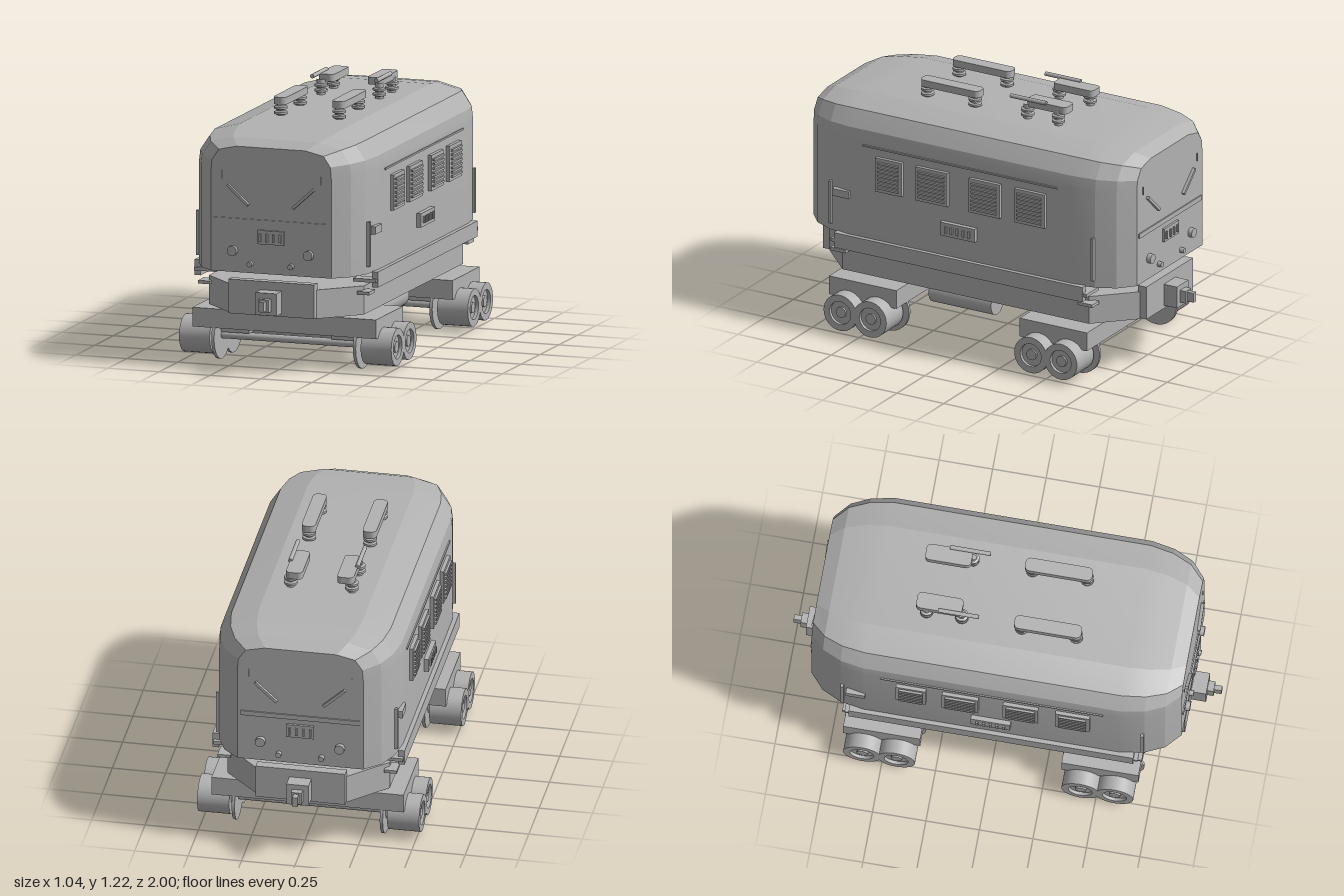
import * as THREE from 'three';
import { toCreasedNormals } from 'three/addons/utils/BufferGeometryUtils.js';

const grey = new THREE.MeshStandardMaterial({ color: 0xb2b2b2 });
grey.name = 'grey';

function add(parent, name, geometry, x = 0, y = 0, z = 0) {
  const mesh = new THREE.Mesh(geometry, grey);
  mesh.name = name;
  mesh.position.set(x, y, z);
  parent.add(mesh);
  return mesh;
}

// Box given by its limits on each axis
function box(parent, name, x0, x1, y0, y1, z0, z1) {
  return add(parent, name, new THREE.BoxGeometry(x1 - x0, y1 - y0, z1 - z0),
    (x0 + x1) / 2, (y0 + y1) / 2, (z0 + z1) / 2);
}

function lathe(profile, segments = 32) {
  const points = profile.map(([r, h]) => new THREE.Vector2(r, h));
  return toCreasedNormals(new THREE.LatheGeometry(points, segments), 0.6);
}

// Faceted shell lofted from arched cross-sections along z
function bodyGeometry() {
  const xs = [1, 1, 0.985, 0.87, 0.57];
  const endY = [0.465, 0.93, 0.985, 1.035, 1.055];
  const midY = [0.465, 0.95, 1.0, 1.075, 1.11];
  const half = [[0.865, 0.295, 0], [0.8, 0.368, 0.55], [0.71, 0.41, 0.8], [0.6, 0.43, 1]];
  const stations = [...half.map(([z, w, t]) => [-z, w, t]), ...half.slice().reverse()];
  const rings = stations.map(([z, w, t]) => {
    const right = xs.map((f, i) => [f * w, endY[i] + (midY[i] - endY[i]) * t, z]);
    return [...right, ...right.slice().reverse().map(([x, y]) => [-x, y, z])];
  });
  const pos = [];
  const n = rings[0].length;
  for (let i = 0; i < rings.length - 1; i++) {
    for (let j = 0; j < n; j++) {
      const k = (j + 1) % n;
      const a = rings[i][j], b = rings[i][k], c = rings[i + 1][k], d = rings[i + 1][j];
      pos.push(...a, ...b, ...c, ...a, ...c, ...d);
    }
  }
  const back = rings[0], front = rings[rings.length - 1];
  for (let j = 1; j < n - 1; j++) {
    pos.push(...front[0], ...front[j], ...front[j + 1]);
    pos.push(...back[0], ...back[j + 1], ...back[j]);
  }
  const g = new THREE.BufferGeometry();
  g.setAttribute('position', new THREE.Float32BufferAttribute(pos, 3));
  return toCreasedNormals(g, 0.2);
}

// Underframe plan with chamfered corners
function frameGeometry() {
  const corners = [[0.38, 0.66], [0.21, 0.83], [-0.21, 0.83], [-0.38, 0.66],
    [-0.38, -0.66], [-0.21, -0.83], [0.21, -0.83], [0.38, -0.66]];
  const shape = new THREE.Shape(corners.map(([x, y]) => new THREE.Vector2(x, y)));
  return new THREE.ExtrudeGeometry(shape, { depth: 0.135, bevelEnabled: false }).rotateX(-Math.PI / 2);
}

// Flat bar with rounded ends, lying along z
function roundedBar(width, length, height, radius) {
  const w = width / 2, l = length / 2, r = radius, s = new THREE.Shape();
  s.absarc(w - r, l - r, r, 0, Math.PI / 2);
  s.absarc(-w + r, l - r, r, Math.PI / 2, Math.PI);
  s.absarc(-w + r, -l + r, r, Math.PI, Math.PI * 1.5);
  s.absarc(w - r, -l + r, r, Math.PI * 1.5, Math.PI * 2);
  return new THREE.ExtrudeGeometry(s, { depth: height, bevelEnabled: false, curveSegments: 6 })
    .rotateX(-Math.PI / 2);
}

// Everything on one end wall
function endDetails() {
  const g = new THREE.Group();
  box(g, 'bufferPlate', -0.21, 0.21, 0.27, 0.43, 0.82, 0.865);
  box(g, 'couplerBlock', -0.052, 0.052, 0.285, 0.39, 0.865, 0.935);
  box(g, 'couplerNeck', -0.025, 0.025, 0.305, 0.365, 0.935, 0.965);
  box(g, 'couplerTip', -0.012, 0.012, 0.312, 0.358, 0.965, 1.0);
  box(g, 'noseRidge', -0.28, 0.28, 0.695, 0.718, 0.864, 0.871);
  box(g, 'grillePlate', -0.065, 0.065, 0.605, 0.67, 0.864, 0.876);
  for (let i = 0; i < 4; i++) {
    const x = -0.05 + i * 0.033;
    box(g, 'grilleBar', x - 0.005, x + 0.005, 0.618, 0.655, 0.876, 0.884);
  }
  for (const s of [-1, 1]) {
    const wiper = add(g, 'wiper', new THREE.BoxGeometry(0.136, 0.013, 0.015), s * 0.16, 0.829, 0.873);
    wiper.rotation.z = s * 0.74;
    const disc = r => new THREE.CylinderGeometry(r, r, 0.024, 20).rotateX(Math.PI / 2);
    add(g, 'headlamp', disc(0.023), s * 0.186, 0.566, 0.874);
    add(g, 'markerLamp', disc(0.013), s * 0.1, 0.508, 0.874);
    box(g, 'hook', s * 0.243 - 0.002, s * 0.243 + 0.002, 0.9, 0.938, 0.864, 0.87);
    const x = s * 0.39;
    box(g, 'upperStep', x - 0.055, x + 0.055, 0.422, 0.438, 0.62, 0.685);
    box(g, 'lowerStep', x - 0.03, x + 0.03, 0.365, 0.38, 0.62, 0.7);
    box(g, 'handrail', s * 0.416 - 0.01, s * 0.416 + 0.01, 0.5, 0.71, 0.694, 0.708);
  }
  return g;
}

// Everything on one long side
function sideDetails() {
  const g = new THREE.Group();
  box(g, 'sill', 0.42, 0.45, 0.397, 0.47, -0.665, 0.665);
  box(g, 'gutter', 0.425, 0.436, 0.922, 0.93, -0.52, 0.52);
  for (const [z0, z1] of [[0.305, 0.445], [0.06, 0.23], [-0.22, -0.055], [-0.46, -0.3]]) {
    box(g, 'ventFrame', 0.425, 0.447, 0.718, 0.885, z0, z1);
    for (let i = 0; i < 7; i++) {
      const y = 0.74 + i * 0.0205;
      box(g, 'louvre', 0.446, 0.457, y - 0.005, y + 0.005, z0 + 0.015, z1 - 0.015);
    }
  }
  box(g, 'sidePlate', 0.425, 0.452, 0.575, 0.64, -0.09, 0.095);
  for (let i = 0; i < 5; i++) {
    const z = -0.06 + i * 0.031;
    box(g, 'plateRib', 0.451, 0.46, 0.592, 0.624, z - 0.006, z + 0.006);
  }
  box(g, 'doorHandle', 0.41, 0.443, 0.648, 0.684, 0.59, 0.68);
  add(g, 'underTank', new THREE.CylinderGeometry(0.057, 0.057, 0.335, 24).rotateX(Math.PI / 2), 0.265, 0.214, 0.067);
  return g;
}

function bogie() {
  const g = new THREE.Group();
  box(g, 'bogieBeam', -0.45, 0.45, 0.16, 0.25, -0.18, 0.18);
  add(g, 'pivot', new THREE.CylinderGeometry(0.12, 0.12, 0.03, 24), 0, 0.255, 0);
  const wheel = lathe([[0, 0.34], [0.11, 0.34], [0.11, 0.354], [0.04, 0.354], [0.04, 0.37], [0.088, 0.37],
    [0.088, 0.52], [0.056, 0.52], [0.056, 0.505], [0.026, 0.505], [0.026, 0.515], [0, 0.515]])
    .rotateZ(-Math.PI / 2);
  for (const z of [-0.08, 0.08]) {
    add(g, 'axle', new THREE.CylinderGeometry(0.018, 0.018, 0.7, 16).rotateZ(Math.PI / 2), 0, 0.112, z);
    add(g, 'wheel', wheel, 0, 0.11, z);
    add(g, 'wheel', wheel, 0, 0.11, z).rotation.y = Math.PI;
  }
  for (const s of [-1, 1]) box(g, 'axleBlock', s * 0.272 - 0.07, s * 0.272 + 0.07, 0.128, 0.162, -0.1, 0.1);
  return g;
}

// Ribbed insulators carrying bars on the roof
function roofGear() {
  const g = new THREE.Group();
  const insulator = lathe([[0.02, 0], [0.02, 0.012], [0.031, 0.016], [0.031, 0.026], [0.02, 0.03],
    [0.02, 0.036], [0.031, 0.04], [0.031, 0.05], [0.02, 0.054], [0.02, 0.075]], 20);
  for (const s of [-1, 1]) {
    for (const z of [0.345, 0.09]) add(g, 'insulator', insulator, s * 0.143, 1.1, z);
    for (const z of [-0.19, -0.355]) add(g, 'insulator', insulator, s * 0.143, 1.108, z);
    add(g, 'frontRoofBar', roundedBar(0.065, 0.315, 0.034, 0.025), s * 0.143, 1.162, 0.213);
    add(g, 'rearRoofBar', roundedBar(0.078, 0.215, 0.034, 0.022), s * 0.12, 1.171, -0.297);
    add(g, 'contactArm', new THREE.CylinderGeometry(0.01, 0.01, 0.19, 12).rotateX(Math.PI / 2),
      s * 0.157, 1.207, -0.203);
  }
  return g;
}

export function createModel() {
  const model = new THREE.Group();
  model.name = 'railcar';
  add(model, 'bodyShell', bodyGeometry());
  add(model, 'underframe', frameGeometry(), 0, 0.265, 0);
  const place = (group, name, z = 0, turn = 0) => {
    group.name = name;
    group.position.z = z;
    group.rotation.y = turn;
    model.add(group);
  };
  place(endDetails(), 'frontEnd');
  place(endDetails(), 'rearEnd', 0, Math.PI);
  place(sideDetails(), 'leftSide');
  place(sideDetails(), 'rightSide', 0, Math.PI);
  place(bogie(), 'frontBogie', 0.51);
  place(bogie(), 'rearBogie', -0.51);
  place(roofGear(), 'roofGear');
  return model;
}
